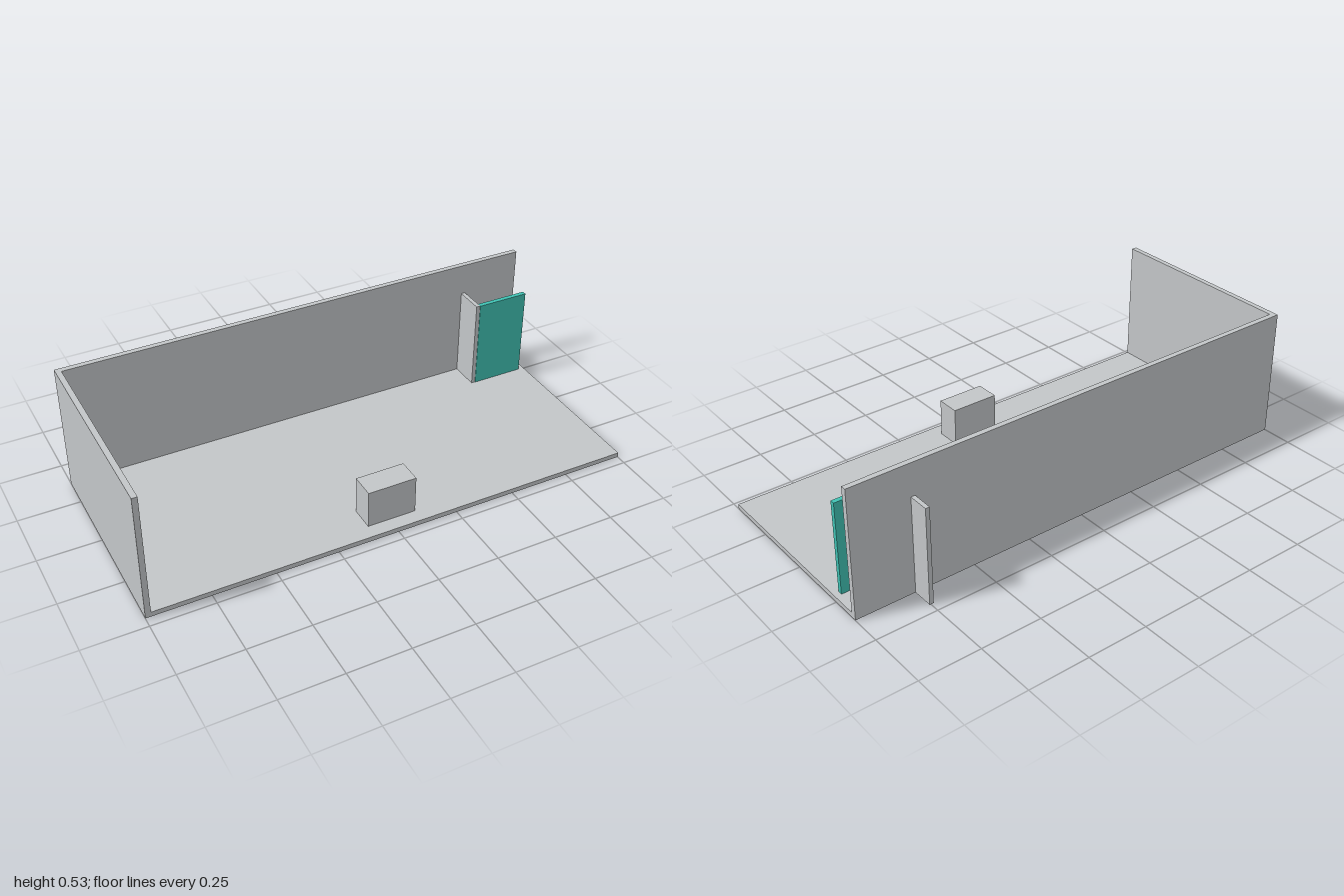
import * as THREE from 'three';

export function createModel() {
  const model = new THREE.Group();
  model.name = 'room';

  const grey = new THREE.MeshStandardMaterial({ color: 0xc3c6c8 });
  grey.name = 'pale grey';
  const teal = new THREE.MeshStandardMaterial({ color: 0x40c1b3 });
  teal.name = 'teal';

  // Box given by its extents along each axis
  function slab(name, material, [x0, x1], [y0, y1], [z0, z1]) {
    const mesh = new THREE.Mesh(new THREE.BoxGeometry(x1 - x0, y1 - y0, z1 - z0), material);
    mesh.position.set((x0 + x1) / 2, (y0 + y1) / 2, (z0 + z1) / 2);
    mesh.name = name;
    model.add(mesh);
  }

  // Room shell: floor and two walls
  slab('floor', grey, [-1, 1], [0.001, 0.021], [-0.374, 0.459]);
  slab('backWall', grey, [-1, 1], [0.001, 0.534], [-0.374, -0.352]);
  slab('sideWall', grey, [-1, -0.978], [0.001, 0.534], [-0.374, 0.459]);

  // Block standing on the floor
  slab('counter', grey, [-0.1, 0.1], [0.015, 0.178], [0.301, 0.401]);

  // Partition passing through the back wall, with the door beside its front end
  slab('partition', grey, [0.738, 0.755], [0, 0.401], [-0.459, -0.23]);
  slab('door', teal, [0.755, 0.976], [0, 0.401], [-0.247, -0.228]);

  return model;
}
